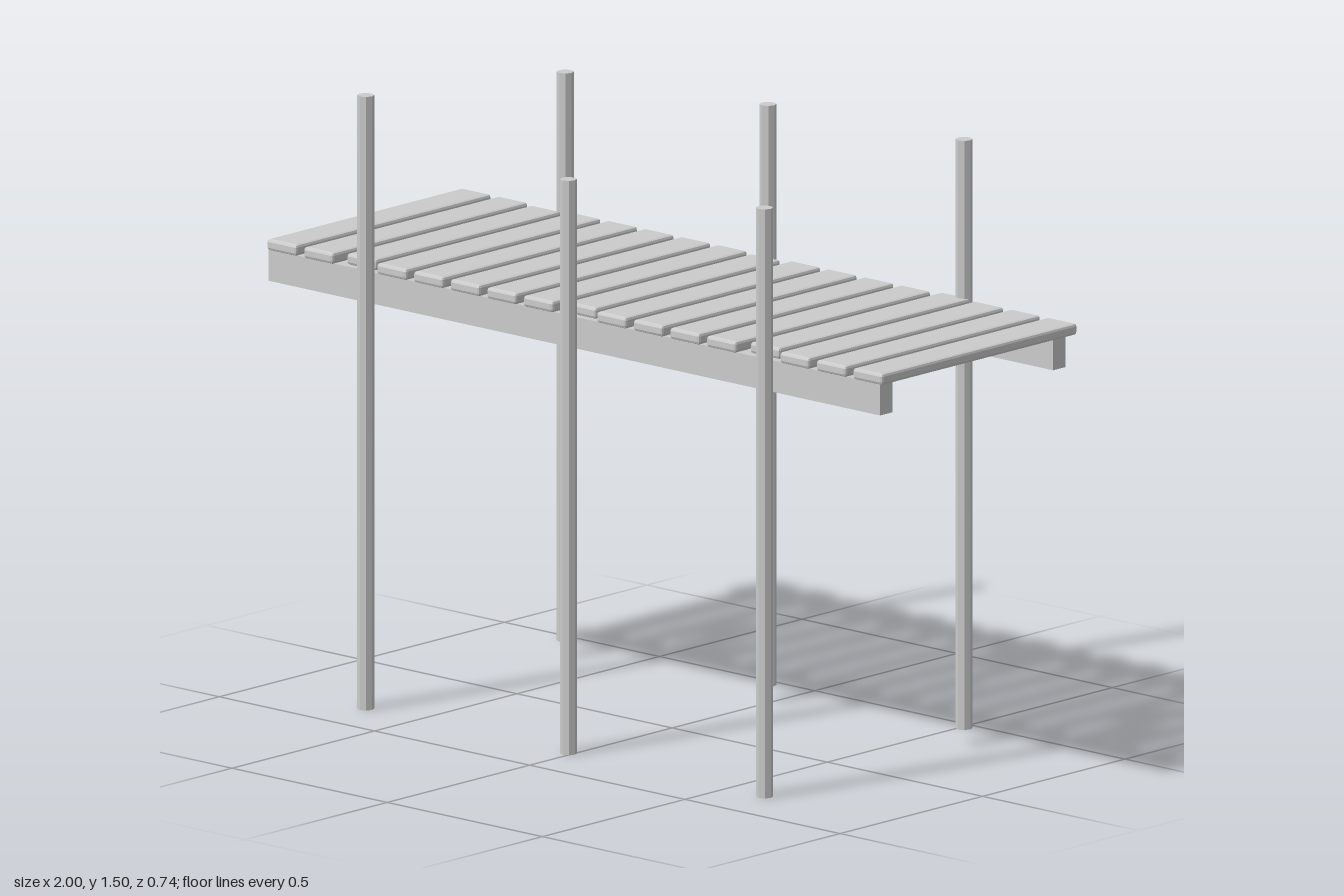
import * as THREE from 'three';
import { RoundedBoxGeometry } from 'three/addons/geometries/RoundedBoxGeometry.js';

const material = new THREE.MeshStandardMaterial({ color: 0xcccccc, flatShading: true });

function addMesh(group, name, geometry, x, y, z) {
  const mesh = new THREE.Mesh(geometry, material);
  mesh.name = name;
  mesh.position.set(x, y, z);
  group.add(mesh);
}

export function createModel() {
  const dock = new THREE.Group();
  dock.name = 'dock';

  // Deck planks with chamfered edges; a few are cut to other lengths
  const planks = new THREE.Group();
  planks.name = 'planks';
  dock.add(planks);
  const oddLengths = { 2: [-0.325, 0.325], 8: [-0.325, 0.325], 13: [-0.35, 0.323] };
  for (let i = 0; i < 17; i++) {
    const [back, front] = oddLengths[i] ?? [-0.338, 0.348];
    const geometry = new RoundedBoxGeometry(0.095, 0.028, front - back, 1, 0.007);
    addMesh(planks, 'plank', geometry, -0.94 + i * 0.118, 1.08, (back + front) / 2);
  }

  // Two long beams under the deck
  const beam = new THREE.BoxGeometry(1.97, 0.077, 0.044);
  addMesh(dock, 'frontBeam', beam, -0.015, 1.024, 0.305);
  addMesh(dock, 'backBeam', beam, -0.015, 1.024, -0.302);

  // Eight-sided posts: x, z, bottom, top
  const posts = [
    [-0.665, 0.351, 0, 1.5],
    [-0.012, 0.351, 0, 1.404],
    [0.62, 0.351, 0, 1.44],
    [-0.665, -0.349, 0.04, 1.43],
    [-0.012, -0.349, 0.04, 1.46],
    [0.62, -0.349, 0.04, 1.48],
  ];
  for (const [x, z, bottom, top] of posts) {
    const geometry = new THREE.CylinderGeometry(0.0205, 0.0205, top - bottom, 8);
    addMesh(dock, z > 0 ? 'frontPost' : 'backPost', geometry, x, (bottom + top) / 2, z);
  }

  return dock;
}
